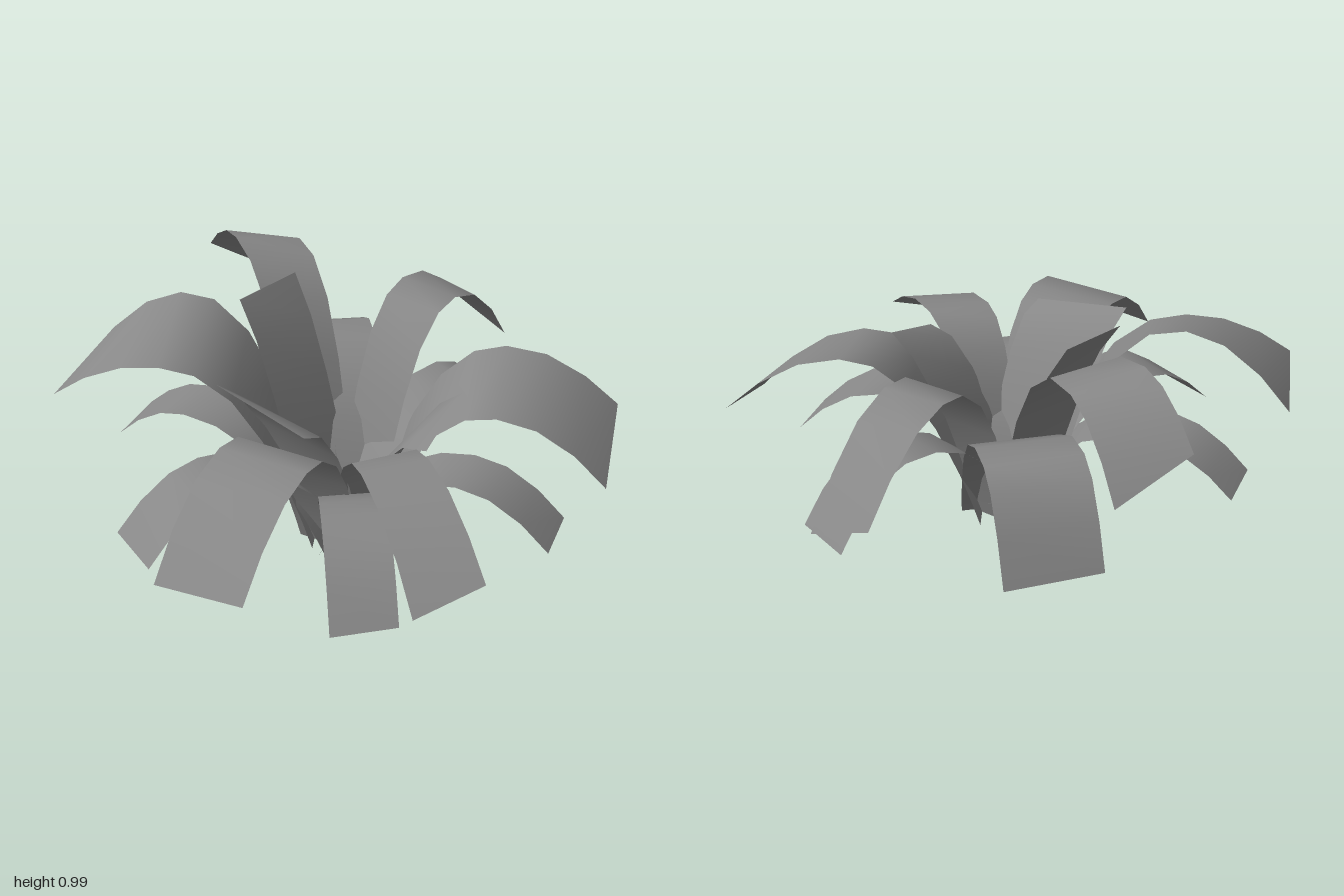
import * as THREE from 'three';

const material = new THREE.MeshStandardMaterial({ color: 0x888888, side: THREE.DoubleSide });

// Each leaf: the two corners of its tip, the height of its arch, where along its reach
// the arch peaks, how far edge b is rolled above the middle there, and the x, z shift of its foot
const upperLeaves = [
  { a: [-0.22, 0.84, -0.99], b: [0.04, 0.69, -0.98], peak: 0.97, at: 0.70 },
  { a: [0.75, 0.59, -0.68], b: [0.89, 0.48, -0.48], peak: 0.83, at: 0.58 },
  { a: [1.0, 0.54, 0.27], b: [0.79, 0.41, 0.59], peak: 0.72, at: 0.58, roll: -0.035 },
  { a: [0.14, 0.44, 0.98], b: [-0.11, 0.36, 0.975], peak: 0.63, at: 0.52 },
  { a: [-0.62, 0.41, 0.79], b: [-0.85, 0.37, 0.53], peak: 0.67, at: 0.57 },
  { a: [-1.0, 0.66, -0.31], b: [-0.82, 0.615, -0.61], peak: 0.86, at: 0.62, roll: 0.07 },
];
const lowerLeaves = [
  { a: [0, 0.33, -0.857], b: [0.34, 0.31, -0.80], peak: 0.63, at: 0.68, shift: [0.06, 0] },
  { a: [0.77, 0.27, -0.37], b: [0.84, 0.265, -0.15], peak: 0.51, at: 0.66, roll: -0.015 },
  { a: [0.69, 0.24, 0.49], b: [0.54, 0.235, 0.66], peak: 0.45, at: 0.60, shift: [-0.08, 0.06] },
  { a: [-0.1, 0.22, 0.84], b: [-0.335, 0.22, 0.81], peak: 0.43, at: 0.58 },
  { a: [-0.82, 0.25, 0.29], b: [-0.88, 0.265, 0.06], peak: 0.47, at: 0.62 },
  { a: [-0.74, 0.32, -0.51], b: [-0.58, 0.335, -0.67], peak: 0.49, at: 0.66, shift: [-0.06, 0.06] },
];
const innerLeaves = [
  { a: [-0.29, 0.92, -0.31], b: [-0.04, 0.94, -0.42], peak: 0.93, at: 1, bend: 1.3 },
  { a: [-0.48, 0.78, 0.02], b: [-0.26, 0.70, 0.34], peak: 0.74, at: 1, bend: 1.8 },
  { a: [0.36, 0.72, 0.27], b: [0.15, 0.62, 0.44], peak: 0.67, at: 1, bend: 1.8 },
];

const RISE = [0, 0.06, 0.15, 0.32, 0.52, 0.76, 1];
const FALL = [0.35, 0.7, 1];

// A ribbon that climbs steeply from the base, arches over and droops to its tip
function makeLeaf({ a, b, peak, at, bend = 2.5, roll = 0, shift = [0, 0] }, baseRadius) {
  const A = new THREE.Vector3(...a), B = new THREE.Vector3(...b);
  const tip = A.clone().add(B).multiplyScalar(0.5);
  const reach = Math.hypot(tip.x, tip.z);
  const dir = new THREE.Vector3(tip.x / reach, 0, tip.z / reach);
  const foot = new THREE.Vector3(shift[0], 0, shift[1]);
  const tipHalf = B.clone().sub(A).multiplyScalar(0.5);
  const baseHalf = new THREE.Vector3(-dir.z, 0, dir.x);
  baseHalf.multiplyScalar(Math.sign(baseHalf.dot(tipHalf)) * Math.hypot(tipHalf.x, tipHalf.z));

  const peakRadius = reach * at;
  const line = RISE.map(u => [
    baseRadius + (peakRadius - baseRadius) * u,
    0.015 + (peak - 0.015) * (1 - (1 - u) ** bend),
  ]);
  if (at < 1) {
    for (const v of FALL) {
      line.push([peakRadius + (reach - peakRadius) * v, peak - (peak - tip.y) * v ** 1.9]);
    }
  }

  const positions = [], index = [];
  line.forEach(([r, y], i) => {
    const t = Math.min(1, (r - baseRadius) / (reach - baseRadius));
    // Slightly narrower at the foot, rolled sideways towards the tip
    const half = baseHalf.clone().lerp(tipHalf, t).multiplyScalar(1 - 0.25 * (1 - t) ** 4);
    half.y = tipHalf.y * t ** 3 + roll * Math.sin(Math.PI * t);
    const mid = dir.clone().multiplyScalar(r).setY(y).addScaledVector(foot, 1 - t);
    for (const side of [-1, 1]) positions.push(...mid.clone().addScaledVector(half, side).toArray());
    if (i) {
      const k = 2 * i;
      index.push(k - 2, k - 1, k, k - 1, k + 1, k);
    }
  });
  return makeMesh(positions, index);
}

function makeMesh(positions, index) {
  const g = new THREE.BufferGeometry();
  g.setAttribute('position', new THREE.Float32BufferAttribute(positions, 3));
  g.setIndex(index);
  g.computeVertexNormals();
  return new THREE.Mesh(g, material);
}

// A thin pointed blade of the central tuft
function makeBlade(angle, height, lean) {
  const c = Math.cos(angle), s = Math.sin(angle), w = 0.008;
  const positions = [];
  for (const [r, y, half] of [[0.01, 0, w], [0.01 + lean * 0.4, height * 0.55, w * 0.8]]) {
    positions.push(c * r + s * half, y, s * r - c * half, c * r - s * half, y, s * r + c * half);
  }
  positions.push(c * (0.01 + lean), height, s * (0.01 + lean));
  return makeMesh(positions, [0, 2, 1, 1, 2, 3, 2, 4, 3]);
}

export function createModel() {
  const plant = new THREE.Group();
  plant.name = 'plant';

  // Three tiers of broad leaves
  const tiers = [
    ['upperLeaf', upperLeaves, 0.1],
    ['lowerLeaf', lowerLeaves, 0],
    ['innerLeaf', innerLeaves, 0.04],
  ];
  for (const [name, leaves, baseRadius] of tiers) {
    const tier = new THREE.Group();
    tier.name = name + 'Ring';
    leaves.forEach((spec, i) => {
      const leaf = makeLeaf(spec, baseRadius);
      leaf.name = name + (i + 1);
      tier.add(leaf);
    });
    plant.add(tier);
  }

  // Tuft of young blades in the middle
  const tuft = new THREE.Group();
  tuft.name = 'centralTuft';
  for (let i = 0; i < 14; i++) {
    const blade = makeBlade(i * 2.4, 0.1 + 0.06 * ((i * 7) % 5), 0.04 + 0.03 * ((i * 3) % 4));
    blade.name = 'blade' + (i + 1);
    tuft.add(blade);
  }
  plant.add(tuft);

  return plant;
}
